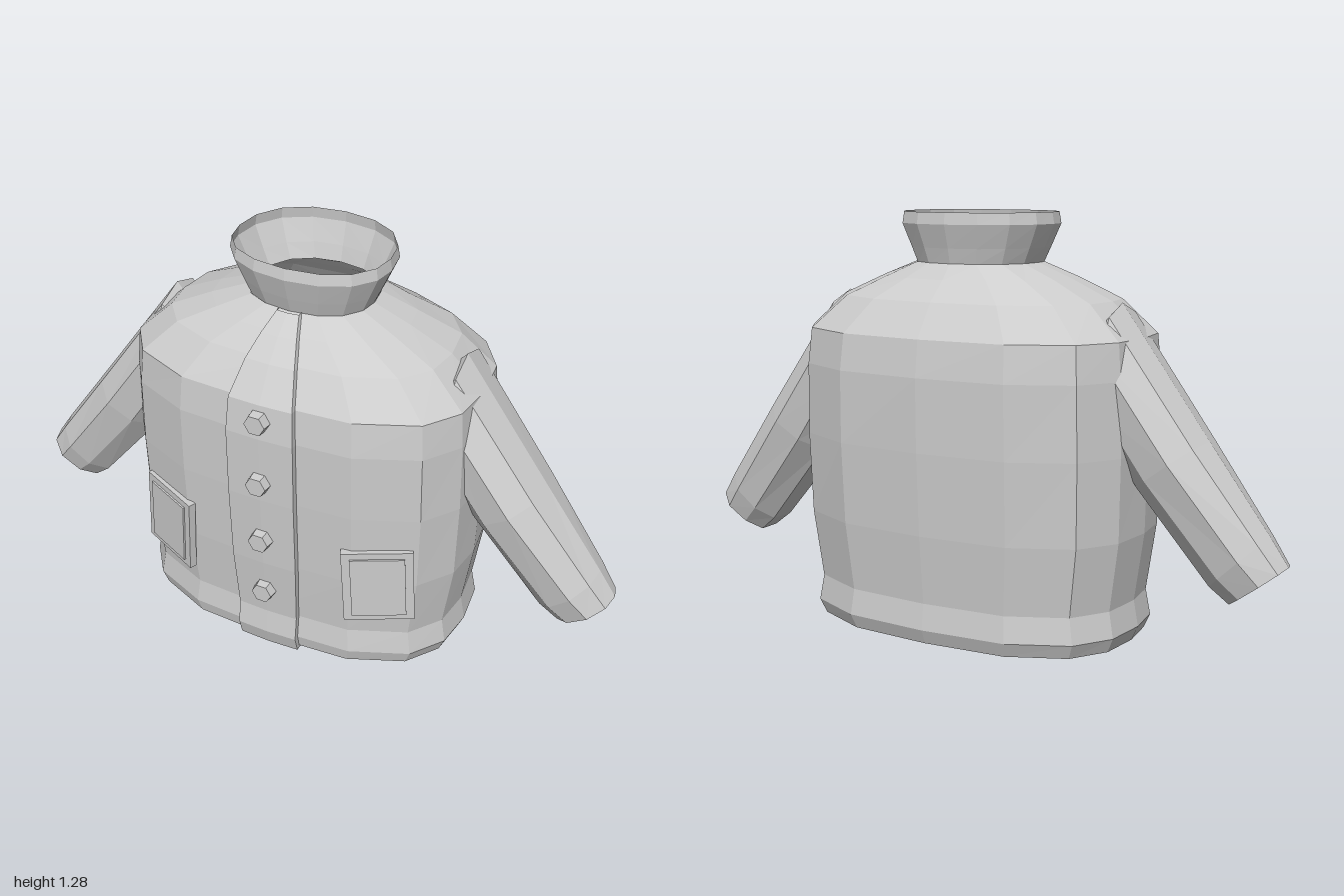
import * as THREE from 'three';

// Skin a stack of closed rings (arrays of [x, y, z]) with quads
function loft(rings) {
  const n = rings[0].length;
  const index = [];
  for (let j = 0; j < rings.length - 1; j++) {
    for (let i = 0; i < n; i++) {
      const a = j * n + i, b = j * n + (i + 1) % n;
      index.push(a, b, b + n, a, b + n, a + n);
    }
  }
  const geo = new THREE.BufferGeometry();
  geo.setAttribute('position', new THREE.Float32BufferAttribute(rings.flat(2), 3));
  geo.setIndex(index);
  geo.computeVertexNormals();
  return geo;
}

// Quarter outlines from front centre to the side: boxy torso and round neck
const BOXY = [[0, 1], [0.5, 0.95], [0.83, 0.72], [0.97, 0.4], [1, 0]];
const ROUND = [[0, 1], [0.42, 0.93], [0.75, 0.72], [0.95, 0.38], [1, 0]];

// Sixteen-sided ring: half width, front z, back z, roundness 0..1
function bodyRing([y, w, front, back, round]) {
  const ring = [];
  for (let i = 0; i < 16; i++) {
    const k = i % 8 <= 4 ? i % 8 : 8 - (i % 8);
    const q = i > 4 && i < 12 ? -1 : 1;
    const m = i <= 8 ? Math.min(i, 8 - i) : Math.min(i - 8, 16 - i);
    const px = THREE.MathUtils.lerp(BOXY[m][0], ROUND[m][0], round);
    const pz = THREE.MathUtils.lerp(BOXY[k][1], ROUND[k][1], round);
    ring.push([(i <= 8 ? 1 : -1) * px * w, y, pz * (q > 0 ? front : back)]);
  }
  return ring;
}

export function createModel() {
  const group = new THREE.Group();
  const cloth = new THREE.MeshStandardMaterial({ color: 0xcccccc, flatShading: true, side: THREE.DoubleSide });
  cloth.name = 'lightGreyCloth';

  function add(name, geometry, parent = group) {
    const mesh = new THREE.Mesh(geometry, cloth);
    mesh.name = name;
    parent.add(mesh);
    return mesh;
  }

  // Torso with flared hem and sloping shoulders
  add('torso', loft([
    [0.015, 0.52, 0.312, -0.34, 0],
    [0.06, 0.54, 0.322, -0.358, 0],
    [0.14, 0.525, 0.312, -0.348, 0],
    [0.35, 0.555, 0.328, -0.368, 0],
    [0.6, 0.56, 0.338, -0.38, 0],
    [0.82, 0.555, 0.342, -0.382, 0],
    [0.93, 0.545, 0.33, -0.368, 0],
    [1.03, 0.44, 0.265, -0.298, 0.3],
    [1.09, 0.31, 0.208, -0.23, 0.7],
    [1.135, 0.195, 0.152, -0.19, 1],
  ].map(bodyRing)));

  // Standing collar
  add('collar', loft([
    [1.13, 0.192, 0.148, -0.188, 1],
    [1.18, 0.215, 0.165, -0.2, 1],
    [1.25, 0.246, 0.187, -0.221, 1],
    [1.285, 0.24, 0.181, -0.217, 1],
  ].map(bodyRing)));

  // Button band down the front: y, half width, front z
  add('buttonBand', loft([
    [0.004, 0.1, 0.322],
    [0.06, 0.1, 0.338],
    [0.14, 0.1, 0.328],
    [0.35, 0.107, 0.346],
    [0.6, 0.108, 0.357],
    [0.82, 0.108, 0.359],
    [0.93, 0.102, 0.347],
    [1.03, 0.078, 0.283],
    [1.09, 0.056, 0.225],
    [1.137, 0.035, 0.167],
  ].map(([y, w, z]) => [[-w, y, z - 0.035], [-w, y, z - 0.004], [0, y, z], [w, y, z - 0.004], [w, y, z - 0.035]])));

  // Hexagonal buttons
  for (const [y, z] of [[0.88, 0.366], [0.665, 0.37], [0.45, 0.364], [0.24, 0.35]]) {
    const button = add('button', new THREE.CylinderGeometry(0.033, 0.037, 0.03, 6));
    button.rotation.set(Math.PI / 2, Math.PI / 2, 0, 'XYZ');
    button.position.set(0, y, z);
  }

  // Sleeve section: outward amount, z amount
  const half = [[0.84, 0.62], [0.3, 1], [-0.45, 0.88], [-0.95, 0.42]];
  const section = [[1, 0], ...half, ...half.map(([u, v]) => [u, -v]).reverse()];
  // Upper point, lower point and half depth of each sleeve ring
  const sleeveRings = [
    [0.445, 0.99, 0.47, 0.66, 0.14],
    [0.48, 1.03, 0.49, 0.6, 0.15],
    [0.757, 0.65, 0.556, 0.5, 0.142],
    [0.945, 0.395, 0.78, 0.235, 0.108],
    [1.0, 0.315, 0.838, 0.19, 0.088],
  ].map(([x0, y0, x1, y1, depth]) => section.map(([u, v]) => {
    const t = (1 - u) / 2;
    return [x0 + (x1 - x0) * t, y0 + (y1 - y0) * t, -0.02 + v * depth];
  }));

  for (const side of [1, -1]) {
    const half = new THREE.Group();
    half.name = side > 0 ? 'leftSide' : 'rightSide';
    half.scale.x = side;
    group.add(half);

    add('sleeve', loft(sleeveRings.slice(0, 4)), half);
    add('cuff', loft(sleeveRings.slice(3)), half);

    // Patch pocket lying on the curved front, with a raised inner panel
    const pocket = new THREE.Group();
    pocket.name = 'pocket';
    pocket.position.set(0.357, 0.355, 0.287);
    pocket.rotation.set(0, 0.41, 0.055, 'YXZ');
    half.add(pocket);
    add('pocketPatch', new THREE.BoxGeometry(0.215, 0.258, 0.024), pocket);
    add('pocketPanel', new THREE.BoxGeometry(0.165, 0.215, 0.008), pocket).position.set(0, 0, 0.014);
  }
  return group;
}
